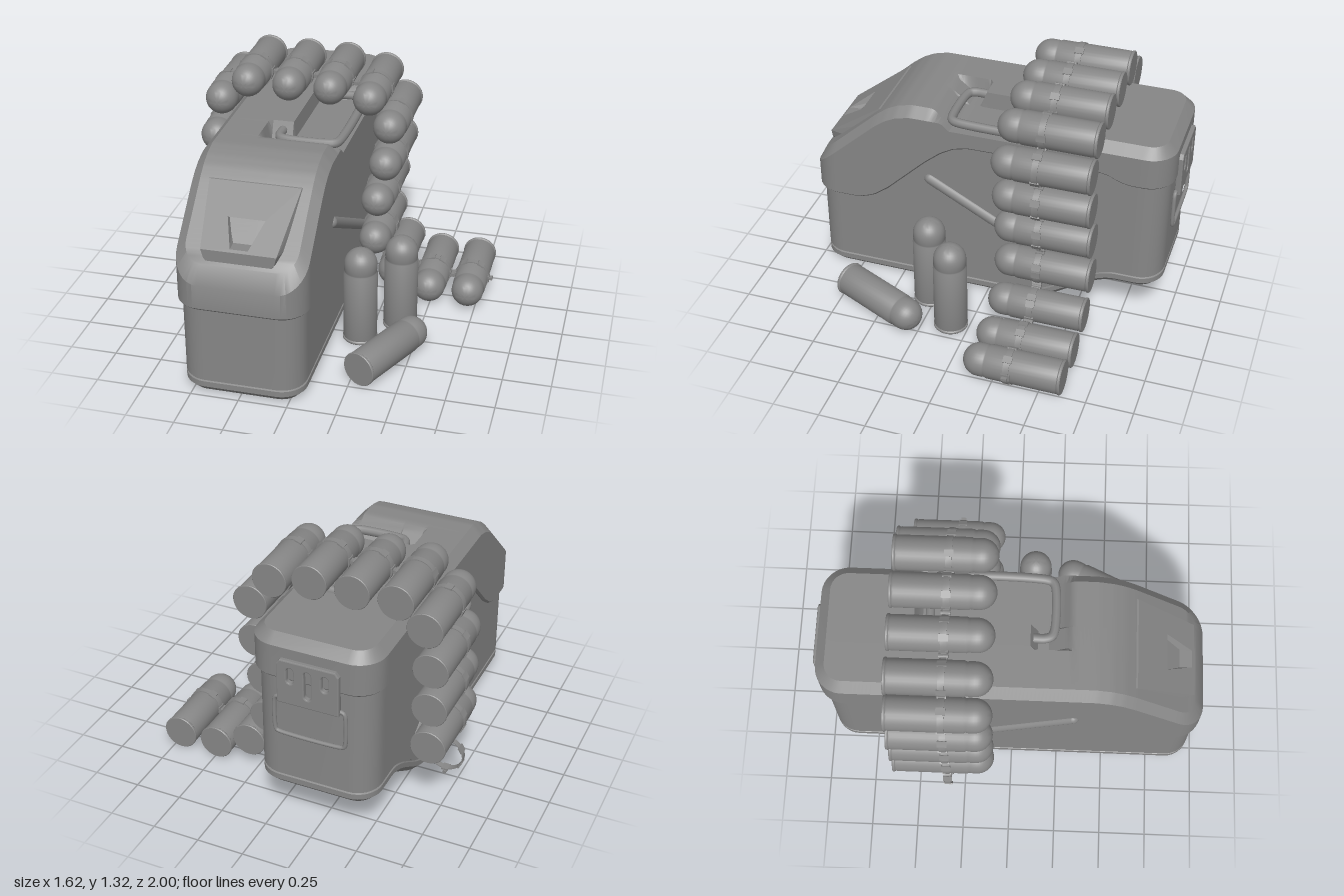
import * as THREE from 'three';
import { toCreasedNormals } from 'three/addons/utils/BufferGeometryUtils.js';

const CX = -0.245; // centre of the box across x
const mat = new THREE.MeshStandardMaterial({ color: 0x868686 });

function add(parent, name, geometry) {
  const mesh = new THREE.Mesh(geometry, mat);
  mesh.name = name;
  parent.add(mesh);
  return mesh;
}

const clamp = (v) => Math.min(1, Math.max(0, v));

// Linear interpolation through [z, y] points listed from front to back
function heightAt(points, z) {
  if (z >= points[0][0]) return points[0][1];
  for (let i = 1; i < points.length; i++) {
    const [z0, y0] = points[i - 1], [z1, y1] = points[i];
    if (z >= z1) return y0 + (y1 - y0) * (z0 - z) / (z0 - z1);
  }
  return points[points.length - 1][1];
}

// Right half of a rounded rectangle, front to back
function halfPlan(hw, zf, zb, r, inset) {
  const pts = [], arc = 8, side = 90, q = r - inset;
  for (let i = 0; i <= arc; i++) {
    const a = (i / arc) * Math.PI / 2;
    pts.push([hw - r + q * Math.sin(a), zf - r + q * Math.cos(a)]);
  }
  for (let i = 1; i < side; i++) pts.push([hw - inset, zf - r + (zb + r - zf + r) * i / side]);
  for (let i = 0; i <= arc; i++) {
    const a = (i / arc) * Math.PI / 2;
    pts.push([hw - r + q * Math.cos(a), zb + r - q * Math.sin(a)]);
  }
  return pts;
}

// Closed shell: stacked rounded rectangles whose heights follow rules y(x, z)
function shell(hw, zf, zb, r, levels, columns = [-1, 1]) {
  const pos = [];
  const quad = (a, b, c, d) => pos.push(...a, ...b, ...c, ...a, ...c, ...d);
  const rings = levels.map(([inset, y]) => {
    const half = halfPlan(hw, zf, zb, r, inset);
    const left = half.map(([x, z]) => [-x, z]).reverse();
    return [...half, ...left].map(([x, z]) => [x, y(x, z), z]);
  });
  for (let l = 0; l + 1 < rings.length; l++) {
    const lo = rings[l], hi = rings[l + 1];
    lo.forEach((p, j) => {
      const k = (j + 1) % lo.length;
      quad(p, lo[k], hi[k], hi[j]);
    });
  }
  for (const top of [false, true]) {
    const [inset, y] = levels[top ? levels.length - 1 : 0];
    const rows = halfPlan(hw, zf, zb, r, inset)
      .map(([hx, z]) => columns.map((t) => [t * hx, y(t * hx, z), z]));
    for (let i = 0; i + 1 < rows.length; i++) {
      for (let k = 0; k + 1 < columns.length; k++) {
        const c = [rows[i][k], rows[i][k + 1], rows[i + 1][k + 1], rows[i + 1][k]];
        quad(...(top ? c : c.reverse()));
      }
    }
  }
  const g = new THREE.BufferGeometry();
  g.setAttribute('position', new THREE.Float32BufferAttribute(pos, 3));
  return toCreasedNormals(g, 0.5);
}

// Round bar following a path with softened corners
function bar(points, radius, bend, closed = false) {
  const v = points.map((p) => new THREE.Vector3(...p)), out = [];
  v.forEach((p, i) => {
    if (!closed && (i === 0 || i === v.length - 1)) return out.push(p);
    const toward = (q) => p.clone().add(q.clone().sub(p).setLength(bend));
    const a = toward(v[(i + v.length - 1) % v.length]), b = toward(v[(i + 1) % v.length]);
    out.push(a, a.clone().add(b).multiplyScalar(0.3).addScaledVector(p, 0.4), b);
  });
  return new THREE.TubeGeometry(new THREE.CatmullRomCurve3(out, closed), 120, radius, 10, closed);
}

const polygon = (Type, pts) => new Type(pts.map(([x, y]) => new THREE.Vector2(x, y)));

// Front pad piece: extruded shape leaning back with height, flanks flaring toward the lid
function padGeometry(shape, lean) {
  const g = new THREE.ExtrudeGeometry(shape, { depth: 0.16, bevelEnabled: false });
  const p = g.attributes.position;
  for (let i = 0; i < p.count; i++) {
    const behind = 0.16 - p.getZ(i);
    p.setX(i, p.getX(i) * (1 + 1.2 * behind));
    p.setZ(i, 0.935 - behind - (p.getY(i) - 0.81) * lean);
  }
  g.computeVertexNormals();
  return g;
}

// Height rules along the box
const lidTop = (z) => heightAt([[1, 0.69], [0.62, 1.035], [0.56, 1.08], [0.5, 1.11], [0.42, 1.13], [-1, 1.13]], z);
const lidEdge = (z) => heightAt([[1, 0.5], [0.76, 0.5], [0.7, 0.51], [0.64, 0.535], [0.56, 0.595], [0.34, 0.81],
  [0.25, 0.885], [0.18, 0.925], [0.1, 0.945], [-0.6, 0.95], [-0.65, 0.94], [-0.72, 0.91], [-0.77, 0.9], [-1, 0.9]], z);
const bottom = (z) => 0.005 + 0.235 * THREE.MathUtils.smoothstep(-z, 0.2, 0.72);
// Handle recess, open to the side, with a finger well
const recess = (x, z) => 0.09 * Math.max(
  clamp((0.3 - z) / 0.1) * clamp((z + 0.5) / 0.03) * clamp((x - 0.045) / 0.008),
  clamp((0.3 - z) / 0.12) * clamp((z - 0.095) / 0.02) * clamp((x + 0.085) / 0.02));
const lidSurface = (drop) => (x, z) => lidTop(z) - Math.max(drop, recess(x, z));

function createBox() {
  const box = new THREE.Group();
  box.name = 'ammunitionBox';
  box.position.x = CX;

  const rim = (h) => (x, z) => bottom(z) + h;
  add(box, 'body', shell(0.315, 0.98, -0.955, 0.13, [
    [0.04, rim(0)], [0, rim(0.04)], [0, rim(0.07)], [0.008, rim(0.074)], [0.008, rim(0.081)],
    [0, rim(0.085)], [0, (x, z) => lidEdge(z) + 0.02]]));
  add(box, 'lid', shell(0.335, 1, -0.978, 0.14, [
    [0.012, (x, z) => lidEdge(z)], [0, (x, z) => lidEdge(z) + 0.012],
    [0, lidSurface(0.05)], [0.05, lidSurface(0)]], [-1, -0.298, -0.228, 0.158, 0.186, 1]));

  // Raised front pad: sloped face with a recessed grip over a short upright foot
  const face = polygon(THREE.Shape, [[-0.19, 0.81], [0.19, 0.81], [0.235, 1.035], [-0.235, 1.035]]);
  face.holes.push(polygon(THREE.Path, [[-0.045, 0.82], [-0.095, 0.92], [0.095, 0.92], [0.045, 0.82]]));
  add(box, 'frontPad', padGeometry(face, 1.36));
  const foot = polygon(THREE.Shape, [[-0.13, 0.73], [0.13, 0.73], [0.16, 0.74], [0.177, 0.765], [0.19, 0.81],
    [-0.19, 0.81], [-0.177, 0.765], [-0.16, 0.74]]);
  add(box, 'frontPadFoot', padGeometry(foot, 0));

  // Folding carry handle lying in the recess
  add(box, 'carryHandle', bar([[-0.01, 1.085, 0.1], [-0.01, 1.085, 0.205], [0.305, 1.085, 0.205],
    [0.305, 1.085, -0.42], [0.05, 1.085, -0.42]], 0.024, 0.045));

  // Slanted side ribs
  for (const s of [-1, 1]) {
    const a = new THREE.Vector3(s * 0.302, 0.7, 0.32), b = new THREE.Vector3(s * 0.302, 0.32, -0.38);
    const d = b.clone().sub(a);
    const rib = add(box, 'sideRib', new THREE.CapsuleGeometry(0.033, d.length(), 6, 14));
    rib.position.copy(a).add(b).multiplyScalar(0.5);
    rib.quaternion.setFromUnitVectors(new THREE.Vector3(0, 1, 0), d.normalize());
  }

  // Rear latch: slotted plate and wire loop
  const plate = polygon(THREE.Shape, [[-0.155, 0.79], [0.155, 0.79], [0.155, 1.0], [0.14, 1.02],
    [-0.14, 1.02], [-0.155, 1.0]]);
  for (const [x, low] of [[-0.09, 0.92], [0, 0.85], [0.09, 0.92]]) {
    const slot = new THREE.Path();
    slot.absarc(x, 0.97, 0.024, 0, Math.PI, false);
    slot.absarc(x, low, 0.024, Math.PI, Math.PI * 2, false);
    slot.closePath();
    plate.holes.push(slot);
  }
  add(box, 'latchPlate', new THREE.ExtrudeGeometry(plate, {
    depth: 0.02, bevelSize: 0.006, bevelThickness: 0.006, bevelSegments: 2, curveSegments: 8 })).position.z = -0.994;
  add(box, 'latchLoop', bar([[-0.184, 0.595, -0.975], [0.184, 0.595, -0.975], [0.184, 0.8, -0.975],
    [-0.184, 0.8, -0.975]], 0.011, 0.02, true));
  return box;
}

// Blunt-nosed cartridge standing on its base
function cartridgeGeometry() {
  const prof = [[0, 0], [0.09, 0], [0.093, 0.004], [0.093, 0.012], [0.088, 0.018], [0.09, 0.026], [0.09, 0.395],
    [0.085, 0.405], [0.085, 0.412], [0.087, 0.418]];
  for (let i = 0; i <= 10; i++) {
    const a = (i / 10) * Math.PI / 2;
    prof.push([i === 10 ? 0 : 0.087 * Math.cos(a), 0.448 + 0.087 * Math.sin(a)]);
  }
  const g = new THREE.LatheGeometry(prof.map(([x, y]) => new THREE.Vector2(x, y)), 32);
  return toCreasedNormals(g.toNonIndexed(), 0.6);
}

export function createModel() {
  const model = new THREE.Group();
  model.name = 'ammunitionBoxWithBelt';
  model.add(createBox());
  const round = cartridgeGeometry();

  // Belt: path of round centres, starting with an empty link
  const belt = new THREE.Group();
  belt.name = 'cartridgeBelt';
  model.add(belt);
  const path = [[-0.71, 0.215], [-0.71, 0.44], [-0.71, 0.665], [-0.71, 0.89], [-0.675, 1.11], [-0.525, 1.225],
    [-0.3, 1.225], [-0.075, 1.225], [0.14, 1.185], [0.25, 1.035], [0.23, 0.815], [0.19, 0.595], [0.18, 0.36],
    [0.29, 0.178], [0.49, 0.1], [0.705, 0.1]];
  const section = [[0.09, -0.016], [0.095, -0.016], [0.095, 0.016], [0.09, 0.016], [0.09, -0.016]];
  const band = toCreasedNormals(new THREE.LatheGeometry(section.map(([x, y]) => new THREE.Vector2(x, y)), 24)
    .rotateX(Math.PI / 2).toNonIndexed(), 0.6);
  const tab = new THREE.BoxGeometry(0.025, 0.014, 0.03);
  const clasp = new THREE.BoxGeometry(0.009, 0.036, 0.048);
  const pin = new THREE.CylinderGeometry(0.01, 0.01, 0.05, 10).rotateX(Math.PI / 2);
  path.forEach(([x, y], i) => {
    if (i > 0) {
      const r = add(belt, 'beltCartridge', round);
      r.rotation.x = Math.PI / 2;
      r.position.set(x, y, -0.62);
    }
    const prev = path[i - 1] || [x, y - 0.225], next = path[i + 1] || [x + 0.22, y];
    const link = new THREE.Group();
    link.name = 'beltLink';
    link.position.set(x, y, -0.335);
    belt.add(link);
    add(link, 'linkBand', band);
    // Joining tabs toward each neighbour, with clasps around the band
    for (const [nx, ny] of [prev, next]) {
      const arm = new THREE.Group();
      arm.name = 'linkArm';
      arm.rotation.z = Math.atan2(ny - y, nx - x);
      link.add(arm);
      add(arm, 'linkTab', tab).position.x = 0.102;
      if (i < path.length - 1 || nx < x) add(arm, 'linkPin', pin).position.x = 0.111;
      for (const a of [-Math.PI / 3, 0, Math.PI / 3]) {
        const c = add(arm, 'linkClasp', clasp);
        c.position.set(0.0925 * Math.cos(a), 0.0925 * Math.sin(a), 0);
        c.rotation.z = a;
      }
    }
  });

  // Loose rounds beside the box
  for (const [x, z] of [[0.205, 0.28], [0.385, 0.1]]) {
    add(model, 'standingCartridge', round).position.set(x, 0.005, z);
  }
  const lying = add(model, 'lyingCartridge', round);
  lying.position.set(0.298, 0.097, 0.725);
  lying.quaternion.setFromUnitVectors(new THREE.Vector3(0, 1, 0), new THREE.Vector3(0.21, 0, -0.455).normalize());
  return model;
}
